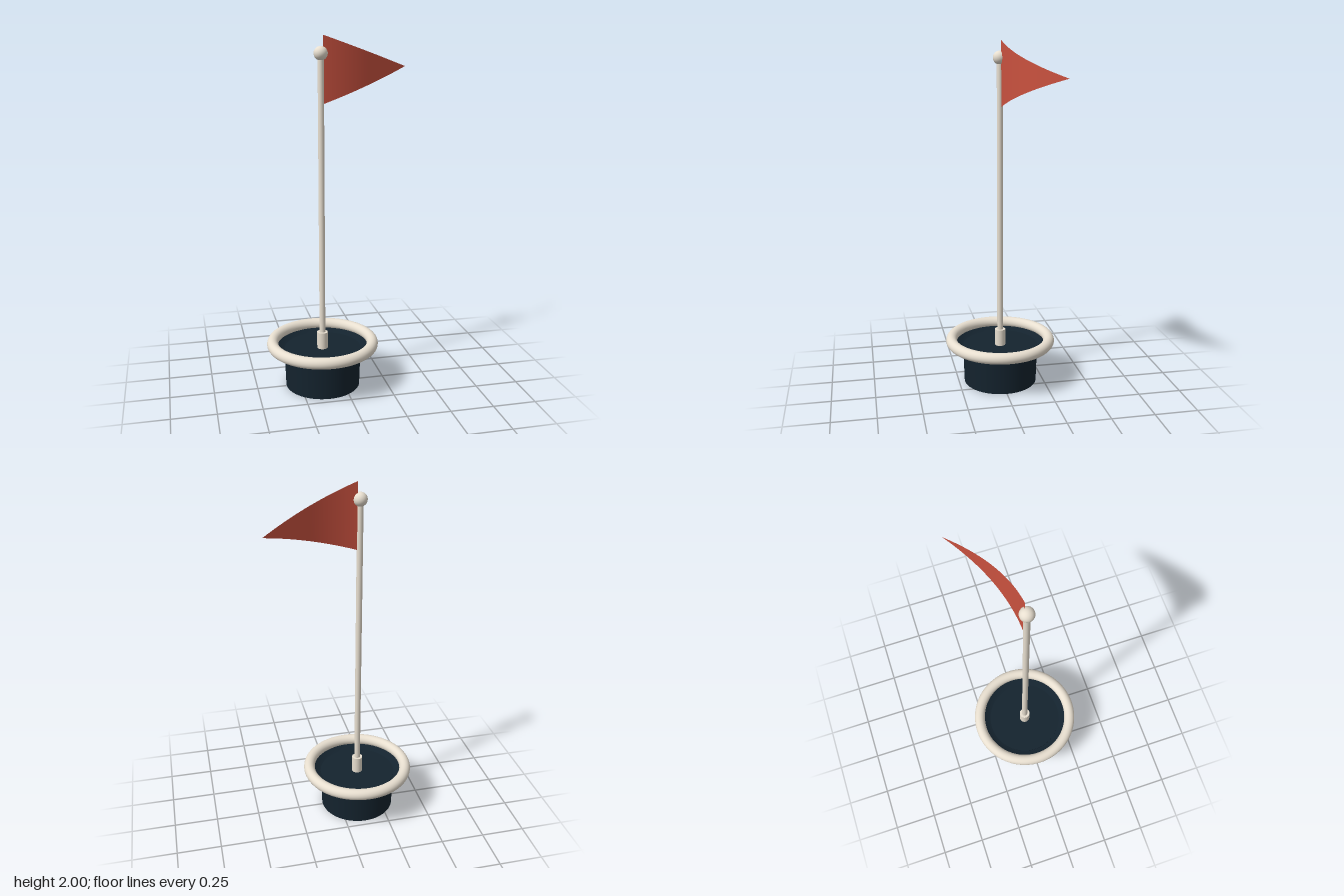
import * as THREE from 'three';

const cream = new THREE.MeshStandardMaterial({ color: 0xe8dfd0 });
const navy = new THREE.MeshStandardMaterial({ color: 0x14232e, side: THREE.DoubleSide });
const red = new THREE.MeshStandardMaterial({ color: 0xc9513f, side: THREE.DoubleSide });

const AXIS_X = -0.115; // the pole and base share this axis

export function createModel() {
  const model = new THREE.Group();
  const add = (name, geometry, material, x, y) => {
    const mesh = new THREE.Mesh(geometry, material);
    mesh.name = name;
    mesh.position.set(x, y, 0);
    model.add(mesh);
    return mesh;
  };

  // Base: tapered drum with a flat deck
  add('baseDrum', new THREE.CylinderGeometry(0.222, 0.215, 0.222, 64), navy, AXIS_X, 0.111);

  // Flange flaring from the drum up into the ring
  const flare = [[0.218, 0.215], [0.235, 0.219], [0.26, 0.232], [0.285, 0.25]]
    .map(([r, y]) => new THREE.Vector2(r, y));
  add('baseFlange', new THREE.LatheGeometry(flare, 64), navy, AXIS_X, 0);

  // Padded ring around the deck
  const ring = add('ring', new THREE.TorusGeometry(0.29, 0.0325, 24, 80), cream, AXIS_X, 0.2545);
  ring.rotation.x = Math.PI / 2;

  // Pole with its socket and ball finial
  add('poleSocket', new THREE.CylinderGeometry(0.031, 0.031, 0.1, 32), cream, AXIS_X, 0.27);
  add('pole', new THREE.CylinderGeometry(0.017, 0.017, 1.67, 24), cream, AXIS_X, 1.055);
  add('finial', new THREE.SphereGeometry(0.038, 32, 24), cream, AXIS_X, 1.905);

  // Pennant: a sheet tapering to its tip and sweeping backwards
  const pennant = new THREE.PlaneGeometry(1, 1, 32, 8);
  const p = pennant.attributes.position;
  for (let i = 0; i < p.count; i++) {
    const t = p.getX(i) + 0.5;
    const half = 0.1825 * (1 - t);
    p.setXYZ(i, 0.53 * t, 2 * p.getY(i) * half, -0.005 - 0.24 * (0.15 * t + 0.85 * t * t));
  }
  pennant.computeVertexNormals();
  add('pennant', pennant, red, -0.1, 1.8175);

  return model;
}
